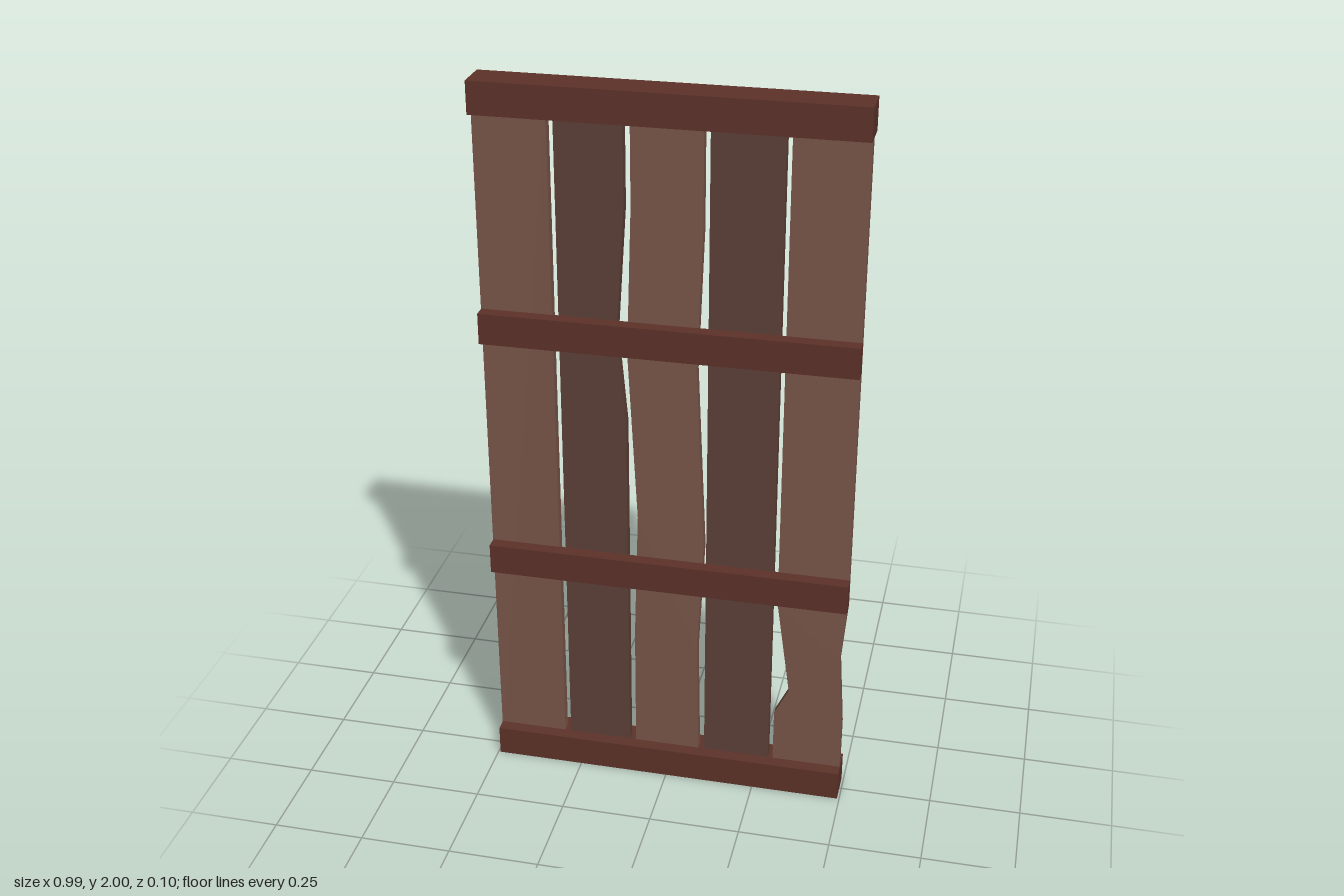
import * as THREE from 'three';

const LIGHT = 0x795548, DARK = 0x5d4037, RAIL = 0x5d3229;
const BOTTOM = 0.04, TOP = 1.96, THICK = 0.026;

// Each plank: straight side positions plus worn edge points [x, y], listed upwards
const PLANKS = [
  { name: 'plankFarRight', color: LIGHT, x0: -0.495, x1: -0.305 },
  { name: 'plankRight', color: DARK, x0: -0.288, x1: -0.113,
    right: [[-0.113, 1.1], [-0.135, 1.35], [-0.113, 1.69]] },
  { name: 'plankMiddle', color: LIGHT, x0: -0.095, x1: 0.088,
    left: [[-0.095, 0.45], [-0.084, 0.82], [-0.108, 1.3], [-0.095, 1.7]],
    right: [[0.081, 0.42], [0.097, 0.75], [0.074, 1.27], [0.088, 1.65]] },
  { name: 'plankLeft', color: DARK, x0: 0.104, x1: 0.288 },
  { name: 'plankFarLeft', color: LIGHT, x0: 0.302, x1: 0.492,
    left: [[0.302, 0.24], [0.341, 0.32], [0.302, 0.6]],
    right: [[0.492, 0.23], [0.478, 0.44], [0.492, 0.61]] },
];

function material(color) {
  return new THREE.MeshStandardMaterial({ color, flatShading: true });
}

// Outline runs up the right edge and back down the left edge
function makePlank({ name, color, x0, x1, left = [], right = [] }) {
  const outline = [
    [x0, BOTTOM], [x1, BOTTOM], ...right,
    [x1, TOP], [x0, TOP], ...left.slice().reverse(),
  ].map(([x, y]) => new THREE.Vector2(x, y));
  const geometry = new THREE.ExtrudeGeometry(new THREE.Shape(outline), {
    depth: THICK, bevelEnabled: false,
  });
  geometry.translate(0, 0, -THICK / 2);
  const mesh = new THREE.Mesh(geometry, material(color));
  mesh.name = name;
  return mesh;
}

// Horizontal beam across the full width
function makeRail(name, y, zBack, zFront) {
  const mesh = new THREE.Mesh(
    new THREE.BoxGeometry(0.988, 0.085, zFront - zBack), material(RAIL));
  mesh.position.set(0, y, (zBack + zFront) / 2);
  mesh.name = name;
  return mesh;
}

export function createModel() {
  const group = new THREE.Group();
  group.name = 'plankPanel';

  // Upright planks
  for (const plank of PLANKS) group.add(makePlank(plank));

  // End rails wrap the planks; cross rails sit on the front only
  group.add(
    makeRail('bottomRail', 0.0425, -0.048, 0.048),
    makeRail('lowerCrossRail', 0.6575, 0.012, 0.048),
    makeRail('upperCrossRail', 1.3475, 0.012, 0.048),
    makeRail('topRail', 1.9575, -0.048, 0.048),
  );
  return group;
}
